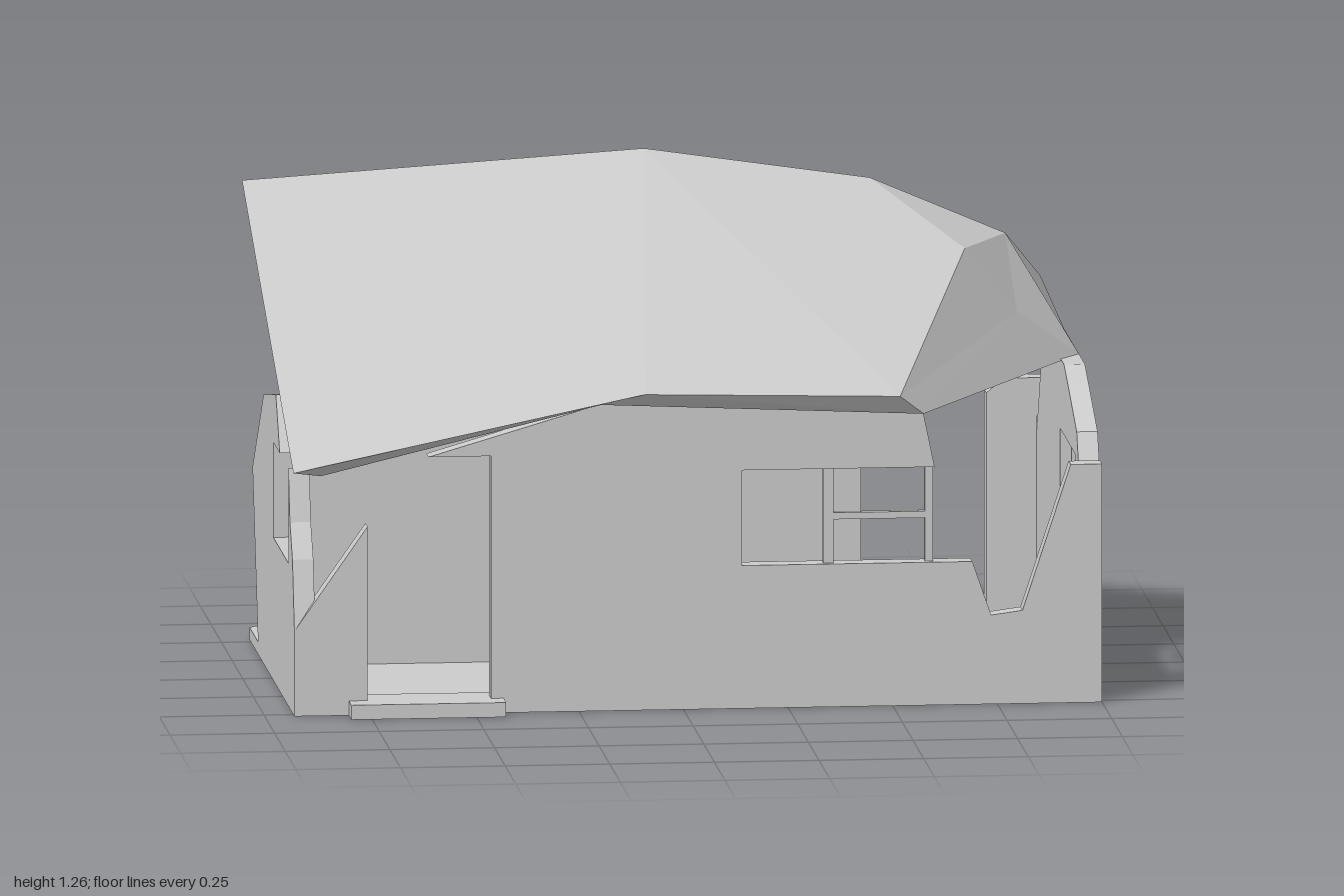
import * as THREE from 'three';

const material = new THREE.MeshStandardMaterial({ color: 0xcccccc, flatShading: true });
const shellMaterial = new THREE.MeshStandardMaterial({ color: 0xcccccc, flatShading: true, side: THREE.DoubleSide });
const T = 0.05; // wall thickness

export function createModel() {
  const house = new THREE.Group();
  house.name = 'ruinedHouse';

  function add(name, geometry, mat = material) {
    const mesh = new THREE.Mesh(geometry, mat);
    mesh.name = name;
    house.add(mesh);
    return mesh;
  }
  // Box given by its limits on each axis
  function box(name, x0, x1, y0, y1, z0, z1) {
    add(name, new THREE.BoxGeometry(x1 - x0, y1 - y0, z1 - z0))
      .position.set((x0 + x1) / 2, (y0 + y1) / 2, (z0 + z1) / 2);
  }
  function slab(points, depth, holes = []) {
    const shape = new THREE.Shape(points.map(p => new THREE.Vector2(...p)));
    for (const h of holes) shape.holes.push(new THREE.Path(h.map(p => new THREE.Vector2(...p))));
    return new THREE.ExtrudeGeometry(shape, { depth, bevelEnabled: false });
  }
  // Wall drawn in x,y with its back face at z
  const wallX = (name, z, points) => add(name, slab(points, T).translate(0, 0, z));
  // Wall drawn in z,y with its +x face at x
  const wallZ = (name, x, points, holes) =>
    add(name, slab(points, T, holes).rotateY(-Math.PI / 2).translate(x, 0, 0));

  // Floor with a chipped corner, and the doorstep
  add('floor', slab([[-0.93, -0.525], [1, -0.525], [1, 0.575], [-0.88, 0.575], [-0.93, 0.53]], 0.03)
    .rotateX(-Math.PI / 2));
  box('doorstep', -0.8, -0.43, 0, 0.035, 0.44, 0.585);

  // Front wall: stub left of the doorway, main part with broken window bay
  wallX('frontWallStub', 0.475, [[-0.93, 0], [-0.755, 0], [-0.755, 0.455], [-0.93, 0.205]]);
  wallX('frontWall', 0.475, [
    [-0.46, 0], [1, 0], [1, 0.575], [0.925, 0.575], [0.81, 0.225], [0.735, 0.215], [0.69, 0.345],
    [0.14, 0.345], [0.14, 0.575], [0.6, 0.575], [0.57, 0.72], [-0.2, 0.74], [-0.61, 0.62], [-0.46, 0.62],
  ]);

  // Right wall with a square window
  wallZ('rightWall', 1, [
    [-0.575, 0], [0.525, 0], [0.525, 0.575], [0.475, 0.575], [0.475, 0.545], [0.42, 0.635], [0.22, 0.71],
    [0.12, 0.745], [-0.37, 0.745], [-0.52, 0.475], [-0.525, 0.6], [-0.575, 0.6],
  ], [[[0.03, 0.345], [0.03, 0.575], [0.385, 0.575], [0.385, 0.345]]]);

  // Left wall, broken open above its window
  wallZ('leftWall', -0.88, [
    [-0.32, 0], [0.525, 0], [0.525, 0.205], [0.48, 0.37], [0.42, 0.45], [0.385, 0.575], [0.385, 0.345],
    [0.03, 0.345], [0.03, 0.575], [0.18, 0.575], [0.09, 0.7], [-0.2, 0.65], [-0.46, 0.43],
  ]);

  // Back wall: corner post and the sloping remains
  wallX('backCornerPost', -0.575, [[0.83, 0], [1, 0], [1, 0.6], [0.87, 0.6], [0.83, 0.565]]);
  wallX('backWall', -0.575, [
    [-0.7, 0], [0.53, 0], [0.53, 0.53], [-0.1, 0.405], [-0.1, 0.345], [-0.8, 0.345],
  ]);

  // Inner partition
  box('partition', -0.88, 0.13, 0, 0.74, -0.05, 0);

  // Window frames
  box('frontWindowPost', 0.335, 0.36, 0.345, 0.575, 0.49, 0.51);
  box('frontWindowPost', 0.578, 0.598, 0.345, 0.59, 0.49, 0.51);
  box('frontWindowBar', 0.36, 0.58, 0.45, 0.466, 0.49, 0.51);
  for (const z of [0.14, 0.265]) box('rightWindowPost', 0.965, 0.985, 0.345, 0.575, z - 0.006, z + 0.006);
  box('rightWindowBar', 0.965, 0.985, 0.45, 0.465, 0.14, 0.265);
  box('backWindowPost', -0.28, -0.26, 0.345, 0.575, -0.565, -0.55);
  box('backWindowPost', -0.53, -0.51, 0.345, 0.45, -0.565, -0.55);
  box('backWindowBar', -0.53, -0.26, 0.45, 0.466, -0.565, -0.55);

  // Roof corners: ridge, eaves, crushed hip end, and the underside of each
  const P = {
    r0: [-1, 1.2, -0.02], r1: [-0.04, 1.26, -0.02], r2: [0.5, 1.18, -0.02],
    f0: [-0.94, 0.6, 0.6], f1: [-0.1, 0.775, 0.6], f2: [0.51, 0.76, 0.6],
    b0: [-0.91, 0.85, -0.33], b1: [0.73, 0.745, -0.605],
    h1: [0.71, 1.035, 0.15], h2: [0.83, 1.03, -0.08], h3: [0.84, 0.87, 0.095], h4: [0.94, 0.88, -0.335],
    e1: [1, 0.745, -0.02], e2: [1, 0.745, -0.37],
    s0: [-0.94, 1.12, -0.02], s1: [-0.04, 1.18, -0.02], s2: [0.47, 1.1, -0.02],
    u0: [-0.87, 0.585, 0.56], u1: [-0.2, 0.745, 0.56], u2: [0.57, 0.71, 0.56],
    v0: [-0.88, 0.77, -0.33], v1: [0.72, 0.7, -0.56],
  };
  // Each face is a triangle or a four-cornered fan
  function roofPart(name, faces) {
    const out = [];
    for (const face of faces) {
      const c = face.split(' ').map(k => P[k]);
      for (let i = 1; i < c.length - 1; i++) out.push(...c[0], ...c[i], ...c[i + 1]);
    }
    const g = new THREE.BufferGeometry();
    g.setAttribute('position', new THREE.Float32BufferAttribute(out, 3));
    g.computeVertexNormals();
    add(name, g, shellMaterial);
  }
  roofPart('roofFrontSlope', ['r0 f0 f1', 'r0 f1 r1', 'r1 f1 f2', 'r1 f2 r2', 'r2 f2 h1']);
  roofPart('roofBackSlope', ['r2 h2 h4', 'r2 h4 b1', 'r2 b1 r1', 'r1 b1 b0', 'r1 b0 r0']);
  roofPart('roofHip', ['f2 h3 h1', 'f2 u2 h3', 'u2 e1 h3', 'h1 h3 h2', 'h3 e1 h2', 'e1 e2 h2',
    'e2 h4 h2', 'r2 h1 h2', 'e2 v1 h4', 'v1 b1 h4']);
  roofPart('roofUnderside', ['s0 s1 u1 u0', 's1 s2 u2 u1', 's2 e1 u2', 's2 e2 e1', 's2 v1 e2',
    's1 v1 s2', 's0 v0 v1', 's0 v1 s1']);
  roofPart('roofEdges', ['r0 s0 u0 f0', 'f0 u0 u1 f1', 'f1 u1 u2 f2', 'r0 b0 v0 s0', 'b0 b1 v1 v0']);

  return house;
}
